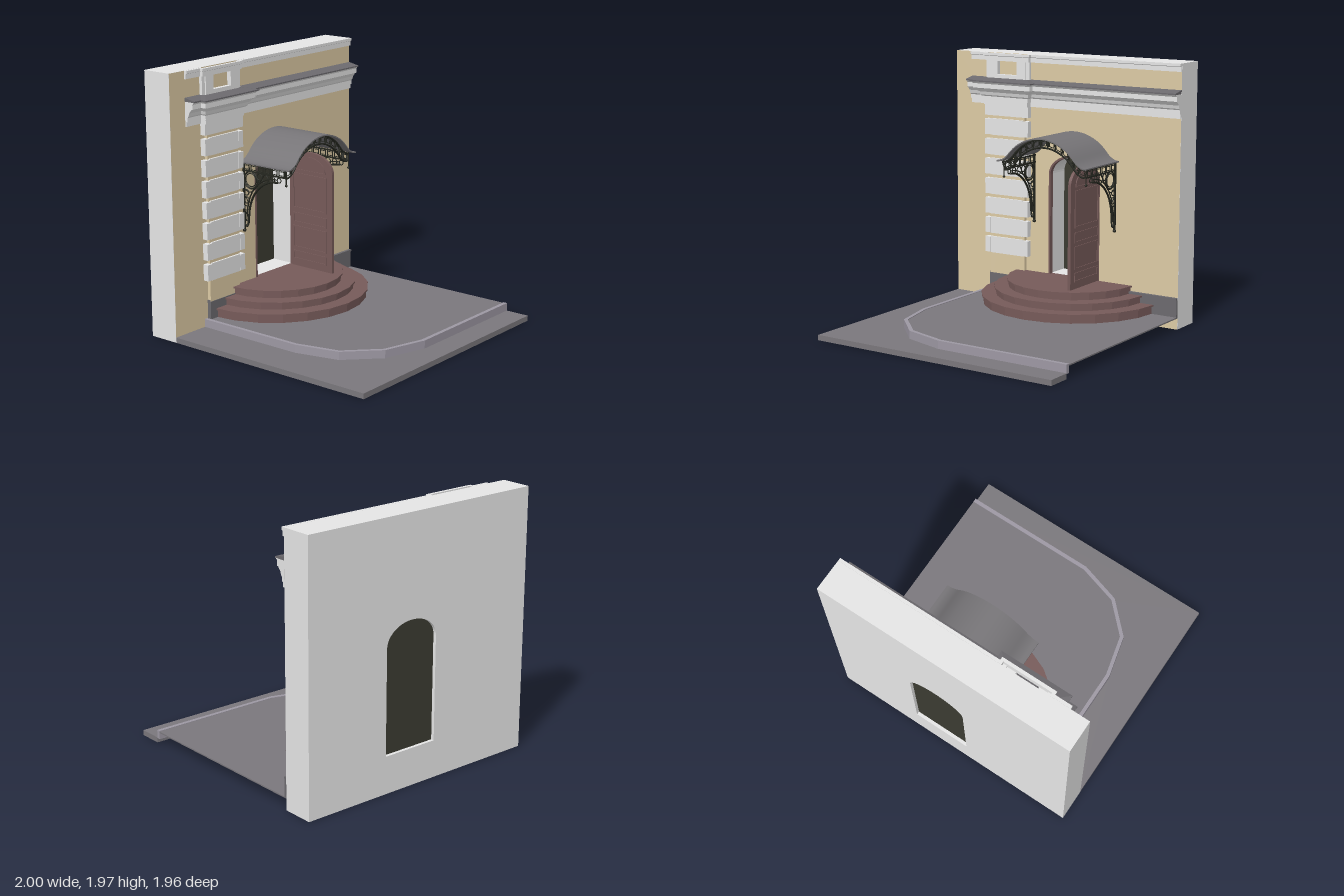
import * as THREE from 'three';
import { toCreasedNormals } from 'three/addons/utils/BufferGeometryUtils.js';

const paint = (name, color, side = THREE.FrontSide) => {
  const m = new THREE.MeshStandardMaterial({ color, side });
  m.name = name;
  return m;
};

const WALL_Z = -0.74, DOOR_X = 0.095;
const V = (x, y, z) => new THREE.Vector3(x, y, z);

export function createModel() {
  const white = paint('white plaster', 0xe5e5e5);
  const tan = paint('tan plaster', 0xdccaa4);
  const brown = paint('red brown', 0x765a59);
  const paving = paint('grey paving', 0x7a777c);
  const slate = paint('dark slate', 0x6c6a6e);
  const curbGrey = paint('curb grey', 0x9d98a3);
  const roofGrey = paint('roof grey', 0x767477, THREE.DoubleSide);
  const iron = paint('black iron', 0x24261f);
  const dark = paint('dark opening', 0x3b3b31, THREE.DoubleSide);

  const model = new THREE.Group();
  const add = (name, geo, mat, parent = model) => {
    const mesh = new THREE.Mesh(geo, mat);
    mesh.name = name;
    parent.add(mesh);
    return mesh;
  };
  const group = (name, parent = model) => {
    const g = new THREE.Group();
    g.name = name;
    parent.add(g);
    return g;
  };
  // box given by its limits
  const box = (name, x0, x1, y0, y1, z0, z1, mat, parent) => {
    const geo = new THREE.BoxGeometry(x1 - x0, y1 - y0, z1 - z0);
    geo.translate((x0 + x1) / 2, (y0 + y1) / 2, (z0 + z1) / 2);
    return add(name, geo, mat, parent);
  };
  const flat = (geo) => {
    const g = geo.toNonIndexed();
    g.computeVertexNormals();
    return g;
  };
  const extrude = (shape, depth) =>
    new THREE.ExtrudeGeometry(shape, { depth, bevelEnabled: false, curveSegments: 16 });
  // plan outline [x, z] raised from y0 to y1
  const slab = (name, pts, y0, y1, mat) => {
    const shape = new THREE.Shape(pts.map(([x, z]) => new THREE.Vector2(x, -z)));
    add(name, extrude(shape, y1 - y0).rotateX(-Math.PI / 2).translate(0, y0, 0), mat);
  };
  // arched outline: half width w, foot y0, spring y1, rise h
  const arch = (cx, w, y0, y1, h, Type = THREE.Shape) => {
    const s = new Type();
    s.moveTo(cx - w, y0);
    s.lineTo(cx + w, y0);
    s.lineTo(cx + w, y1);
    s.absellipse(cx, y1, w, h, 0, Math.PI, false, 0);
    s.lineTo(cx - w, y0);
    return s;
  };
  // moulding [offset, y] swept along a plan path [x, z, mitre]
  const moulding = (name, path, profile, mat) => {
    const pos = [], n = profile.length;
    const at = (i, j) => {
      const [x, z, m] = path[i], [d, y] = profile[j % n];
      return [x + m * d, y, z + d];
    };
    for (let i = 0; i < path.length - 1; i++)
      for (let j = 0; j < n; j++) {
        const a = at(i, j), b = at(i + 1, j), c = at(i + 1, j + 1), d = at(i, j + 1);
        pos.push(...a, ...b, ...c, ...a, ...c, ...d);
      }
    const faces = THREE.ShapeUtils.triangulateShape(profile.map(([d, y]) => new THREE.Vector2(d, y)), []);
    const end = path.length - 1;
    for (const [a, b, c] of faces)
      pos.push(...at(0, a), ...at(0, b), ...at(0, c), ...at(end, c), ...at(end, b), ...at(end, a));
    const geo = new THREE.BufferGeometry();
    geo.setAttribute('position', new THREE.Float32BufferAttribute(pos, 3));
    geo.computeVertexNormals();
    add(name, geo, mat);
  };

  // wall with arched doorway
  const wallShape = () => {
    const s = new THREE.Shape([[-1, 0], [1, 0], [1, 1.97], [-1, 1.97]].map((p) => new THREE.Vector2(...p)));
    s.holes.push(arch(DOOR_X, 0.225, 0.28, 1.06, 0.16, THREE.Path));
    return s;
  };
  add('wall', extrude(wallShape(), 0.239).translate(0, 0, -0.98), white);
  add('wallFront', new THREE.ShapeGeometry(wallShape(), 16).translate(0, 0, WALL_Z), tan);
  add('doorwayDark', new THREE.ShapeGeometry(arch(DOOR_X, 0.225, 0.28, 1.06, 0.16), 16).translate(0, 0, -0.955), dark);
  const frame = arch(DOOR_X, 0.227, 0.28, 1.06, 0.162);
  frame.holes.push(arch(DOOR_X, 0.212, 0.281, 1.06, 0.147, THREE.Path));
  add('doorFrame', extrude(frame, 0.035).translate(0, 0, -0.77), brown);

  // cornice and top band, both breaking forward over the pilaster
  const breakPath = (out) => [
    [-0.85, WALL_Z, 0], [-0.69, WALL_Z, -1], [-0.69, WALL_Z + out, -1],
    [-0.31, WALL_Z + out, 1], [-0.31, WALL_Z, 1], [1, WALL_Z, 0],
  ];
  moulding('cornice', breakPath(0.045), [
    [0, 1.57], [0.012, 1.57], [0.012, 1.605], [0.022, 1.605], [0.022, 1.635], [0.032, 1.645],
    [0.04, 1.67], [0.06, 1.695], [0.072, 1.7], [0.072, 1.735], [0.086, 1.75], [0, 1.75],
  ], white);
  moulding('corniceRoof', breakPath(0.045), [[0, 1.75], [0.092, 1.75], [0.092, 1.76], [0, 1.778]], slate);
  moulding('topBand', breakPath(0.025), [
    [0, 1.91], [0.012, 1.91], [0.012, 1.945], [0.024, 1.95], [0.024, 1.97], [0, 1.97],
  ], white);

  // pilaster: tan core, banded blocks, upper panel
  const pilaster = group('pilaster');
  box('pilasterCore', -0.66, -0.34, 0.1, 1.57, WALL_Z, -0.713, tan, pilaster);
  for (let i = 0; i < 7; i++) {
    const y = 0.395 + i * 0.156;
    box('blockCentre', -0.65, -0.35, y, y + 0.13, WALL_Z, -0.698, white, pilaster);
    for (const s of [-1, 1])
      box('blockEnd', -0.5 + s * 0.175 - 0.025, -0.5 + s * 0.175 + 0.025, y + 0.003, y + 0.125, WALL_Z, -0.695, white, pilaster);
  }
  box('pilasterNeck', -0.7, -0.3, 1.485, 1.6, WALL_Z, -0.695, white, pilaster);
  for (const s of [-1, 1]) {
    const x = -0.5 + s * 0.13;
    box('upperStile', x - 0.04, x + 0.04, 1.76, 1.91, WALL_Z, -0.705, white, pilaster);
    box('upperEdge', -0.5 + s * 0.18 - 0.02, -0.5 + s * 0.18 + 0.02, 1.76, 1.93, WALL_Z, -0.715, white, pilaster);
  }
  box('upperSill', -0.6, -0.4, 1.76, 1.805, WALL_Z, -0.705, white, pilaster);

  // plinth
  box('plinth', -0.66, 1, 0.09, 0.225, WALL_Z, -0.722, slate);
  box('plinthCap', -0.665, 1, 0.225, 0.24, WALL_Z, -0.716, slate);
  box('pilasterPlinth', -0.665, -0.335, 0.09, 0.23, WALL_Z, -0.708, slate);

  // ground, curb and raised paving
  const outer = [[-0.7, WALL_Z], [-0.7, 0.13], [-0.62, 0.46], [-0.39, 0.69], [-0.06, 0.79], [1, 0.79]];
  const inner = [[-0.672, WALL_Z], [-0.672, 0.125], [-0.595, 0.445], [-0.375, 0.665], [-0.055, 0.76], [1, 0.76]];
  slab('ground', [[-1, WALL_Z], [-1, 0.977], [1, 0.977], ...outer.slice().reverse()], 0, 0.04, paving);
  slab('curb', [...outer, ...inner.slice().reverse()], 0.035, 0.1, curbGrey);
  slab('raisedPaving', [...inner, [1, WALL_Z]], 0.085, 0.095, paving);

  // half-round steps with nosings
  const steps = group('steps');
  const halfDisc = (name, r, y0, y1) => add(name, flat(
    new THREE.CylinderGeometry(r, r, y1 - y0, 12, 1, false, -Math.PI / 2, Math.PI)
      .translate(DOOR_X + 0.003, (y0 + y1) / 2, WALL_Z + 0.003)), brown, steps);
  [[0.71, 0.09, 0.165], [0.612, 0.165, 0.222], [0.515, 0.222, 0.282]].forEach(([r, y0, y1]) => {
    halfDisc('riser', r - 0.014, y0, y1 - 0.012);
    halfDisc('tread', r, y1 - 0.012, y1);
  });

  // open door leaf, swung outward: its free edge is at local x = -0.4
  const door = group('door');
  door.rotation.y = Math.PI / 2;
  door.position.set(0.292, 0, WALL_Z);
  add('doorLeaf', extrude(arch(-0.2, 0.2, 0.283, 1.06, 0.14), 0.024), brown, door);
  const ring = (name, shape, hole, z) => {
    shape.holes.push(hole);
    add(name, extrude(shape, 0.006).translate(0, 0, z), brown, door);
  };
  const rect = (Type, y0, y1, e) => new Type([[-0.345, y0, 1, 1], [-0.015, y0, -1, 1], [-0.015, y1, -1, -1], [-0.345, y1, 1, -1]]
    .map(([x, y, a, b]) => new THREE.Vector2(x + a * e, y + b * e)));
  for (const z of [-0.006, 0.024]) {
    for (const [y0, y1] of [[0.335, 0.405], [0.43, 0.605], [0.63, 0.71], [0.745, 1.025]])
      ring('panelMoulding', rect(THREE.Shape, y0, y1, 0), rect(THREE.Path, y0, y1, 0.011), z);
    ring('archMoulding', arch(-0.18, 0.155, 1.05, 1.06, 0.105), arch(-0.18, 0.144, 1.056, 1.06, 0.094, THREE.Path), z);
  }

  // curved canopy sheet
  const canopy = group('canopy');
  const half = [[0.39, 1.217], [0.355, 1.222], [0.31, 1.249], [0.26, 1.302], [0.2, 1.351], [0.1, 1.396]];
  const canopyCurve = (drop, k = 1) => new THREE.CatmullRomCurve3([
    ...half.map(([x, y]) => V(DOOR_X - x * k, y - drop, 0)), V(DOOR_X, 1.41 - drop, 0),
    ...half.map(([x, y]) => V(DOOR_X + x * k, y - drop, 0)).reverse(),
  ]);
  const topPts = canopyCurve(0).getPoints(36), lowPts = canopyCurve(0.01).getPoints(36).reverse();
  const sheet = new THREE.Shape([...topPts, ...lowPts].map((p) => new THREE.Vector2(p.x, p.y)));
  add('canopyRoof', toCreasedNormals(extrude(sheet, 0.475).translate(0, 0, WALL_Z), 0.6), roofGrey, canopy);

  // iron fascia: two arched rails with framed bars
  const tube = (name, pts, r, parent) => add(name, pts.length > 2
    ? new THREE.TubeGeometry(new THREE.CatmullRomCurve3(pts), 20, r, 6)
    : new THREE.TubeGeometry(new THREE.LineCurve3(...pts), 1, r, 6), iron, parent);
  const upper = canopyCurve(0.017, 0.95), lower = canopyCurve(0.076, 0.9);
  const fascia = group('ironFascia', canopy);
  fascia.position.z = -0.32;
  add('upperRail', new THREE.TubeGeometry(upper, 40, 0.008, 6), iron, fascia);
  add('lowerRail', new THREE.TubeGeometry(lower, 40, 0.007, 6), iron, fascia);
  for (let i = 0; i <= 13; i++) {
    const t = i / 13;
    tube('fasciaBar', [upper.getPointAt(t), lower.getPointAt(t)], 0.006, fascia);
    if (i === 13) continue;
    // inner frame of each bay
    const c = [[0.2, 0.2], [0.8, 0.2], [0.8, 0.72], [0.2, 0.72]].map(([u, v]) =>
      upper.getPointAt(t + u / 13).lerp(lower.getPointAt(t + u / 13), v));
    c.forEach((p, j) => tube('bayFrame', [p, c[(j + 1) % 4]], 0.003, fascia));
  }

  // iron side brackets, mirrored about the doorway
  for (const s of [-1, 1]) {
    const g = group(s > 0 ? 'leftBracket' : 'rightBracket', canopy);
    g.position.x = DOOR_X + 0.004 + s * 0.36;
    const p = (z, y) => V(0, y, z);
    const hoop = (z, y, r, t = 0.004) =>
      add('scroll', new THREE.TorusGeometry(r, t, 6, 20).rotateY(Math.PI / 2).translate(0, y, z), iron, g);
    const ball = (z, y, r) => add('ball', new THREE.SphereGeometry(r, 10, 8).translate(0, y, z), iron, g);
    box('post', -0.007, 0.007, 0.69, 1.21, -0.737, -0.723, iron, g);
    for (const y of [1.2, 1.145]) box('sideRail', -0.006, 0.006, y - 0.005, y + 0.005, WALL_Z, -0.315, iron, g);
    for (let i = 0; i < 6; i++) {
      const z = -0.335 - i * 0.068;
      for (const d of [0, 0.05]) tube('sideBar', [p(z - d, 1.2), p(z - d, 1.145)], 0.004, g);
      for (const y of [1.187, 1.158]) tube('sideFrame', [p(z, y), p(z - 0.05, y)], 0.003, g);
    }
    tube('cornerDrop', [p(-0.316, 1.215), p(-0.316, 1.09)], 0.005, g);
    ball(-0.316, 1.09, 0.01);
    const sweep = [[-0.39, 1.1], [-0.47, 1.09], [-0.56, 1.045], [-0.63, 0.97], [-0.67, 0.88], [-0.69, 0.74]];
    tube('braceArc', sweep.map(([z, y]) => p(z, y)), 0.008, g);
    tube('braceInnerArc', sweep.map(([z, y]) => p(z - 0.018, y + 0.02)), 0.005, g);
    hoop(-0.66, 1.08, 0.065, 0.007);
    hoop(-0.66, 1.08, 0.05);
    for (const [z, y, r] of [[-0.385, 1.118, 0.018], [-0.45, 1.118, 0.022], [-0.52, 1.108, 0.03], [-0.575, 1.115, 0.024],
      [-0.705, 0.98, 0.022], [-0.7, 0.92, 0.024], [-0.712, 0.86, 0.018], [-0.705, 0.745, 0.02]]) hoop(z, y, r);
    tube('tendril', [p(-0.72, 1.0), p(-0.67, 0.985), p(-0.62, 1.02), p(-0.57, 1.08), p(-0.53, 1.135)], 0.004, g);
    tube('lowerTendril', [p(-0.725, 0.8), p(-0.7, 0.84), p(-0.69, 0.9), p(-0.715, 0.95)], 0.004, g);
    ball(-0.705, 0.725, 0.012);
    ball(-0.73, 0.685, 0.013);
  }
  return model;
}
